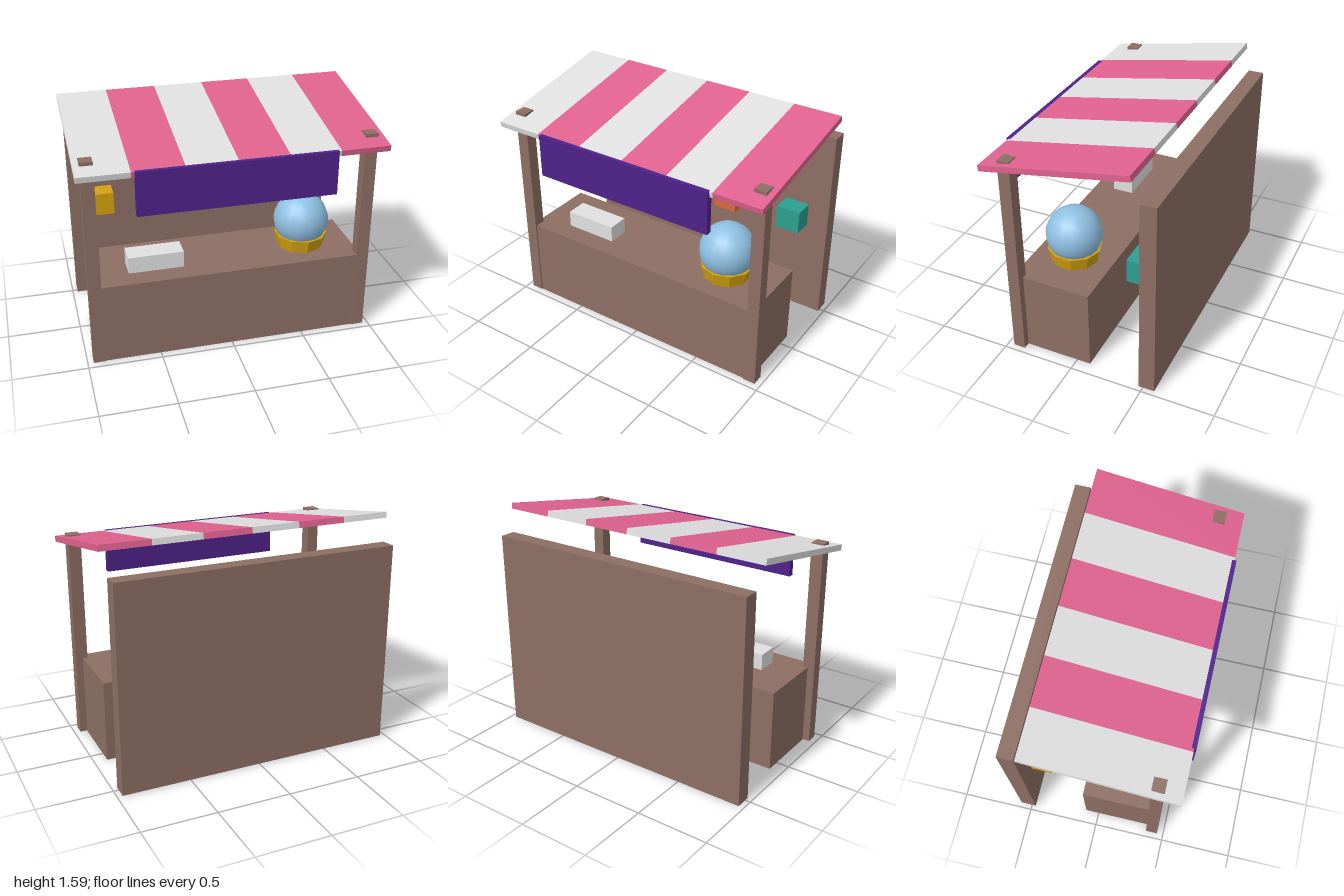
import * as THREE from 'three';

const mat = (name, color) => {
  const m = new THREE.MeshStandardMaterial({ color });
  m.name = name;
  return m;
};

export function createModel() {
  const wood = mat('wood brown', 0x8d6e63);
  const white = mat('off white', 0xe0e0e0);
  const awningPink = mat('awning pink', 0xe0628e);
  const purple = mat('purple', 0x4f228a);
  const gold = mat('gold', 0xd4a20f);
  const blue = mat('pale blue', 0x8fc0e2);
  const green = mat('green', 0x66b56a);
  const orange = mat('orange', 0xdc663c);
  const pink = mat('prize pink', 0xdc4277);
  const teal = mat('teal', 0x2c9f91);

  const stall = new THREE.Group();
  stall.name = 'fairStall';

  const add = (parent, name, geometry, material, x, y, z) => {
    const mesh = new THREE.Mesh(geometry, material);
    mesh.name = name;
    mesh.position.set(x, y, z);
    parent.add(mesh);
    return mesh;
  };
  const box = (parent, name, material, w, h, d, x, y, z) =>
    add(parent, name, new THREE.BoxGeometry(w, h, d), material, x, y, z);

  // Counter, back wall and front posts
  box(stall, 'counter', wood, 1.82, 0.566, 0.54, 0, 0.283, 0.175);
  box(stall, 'backWall', wood, 1.93, 1.4, 0.108, 0, 0.702, -0.526);
  for (const side of [-1, 1]) {
    box(stall, side < 0 ? 'rightPost' : 'leftPost', wood, 0.084, 1.452, 0.082, side * 0.918, 0.729, 0.414);
  }

  // Sloping awning made of six stripes
  const awning = new THREE.Group();
  awning.name = 'awning';
  awning.position.set(0, 1.483, 0.066);
  awning.rotation.x = 0.18;
  stall.add(awning);
  const stripe = 2 / 6;
  for (let i = 0; i < 6; i++) {
    box(awning, 'awningStripe', i % 2 ? awningPink : white, stripe, 0.04, 1.016, -1 + stripe * (i + 0.5), 0, 0);
  }

  // Blank sign board hanging from the awning
  box(stall, 'signBoard', purple, 1.29, 0.295, 0.042, 0, 1.267, 0.562);

  // Two staggered rows of prize boxes
  [gold, blue, purple, green, orange, pink, teal].forEach((material, i) => {
    const y = i % 2 ? 1.08 : 0.785;
    box(stall, 'prizeBox', material, 0.172, 0.162, 0.14, -0.755 + i * 0.248, y, -0.392);
  });

  // Carton on the counter
  box(stall, 'carton', white, 0.375, 0.115, 0.15, -0.488, 0.623, 0.23);

  // Glass ball on a faceted gold stand
  const standGeo = new THREE.CylinderGeometry(0.182, 0.16, 0.094, 10).toNonIndexed();
  standGeo.computeVertexNormals();
  add(stall, 'ballStand', standGeo, gold, 0.56, 0.612, 0.175);
  add(stall, 'glassBall', new THREE.SphereGeometry(0.19, 16, 12), blue, 0.56, 0.757, 0.175);

  return stall;
}
